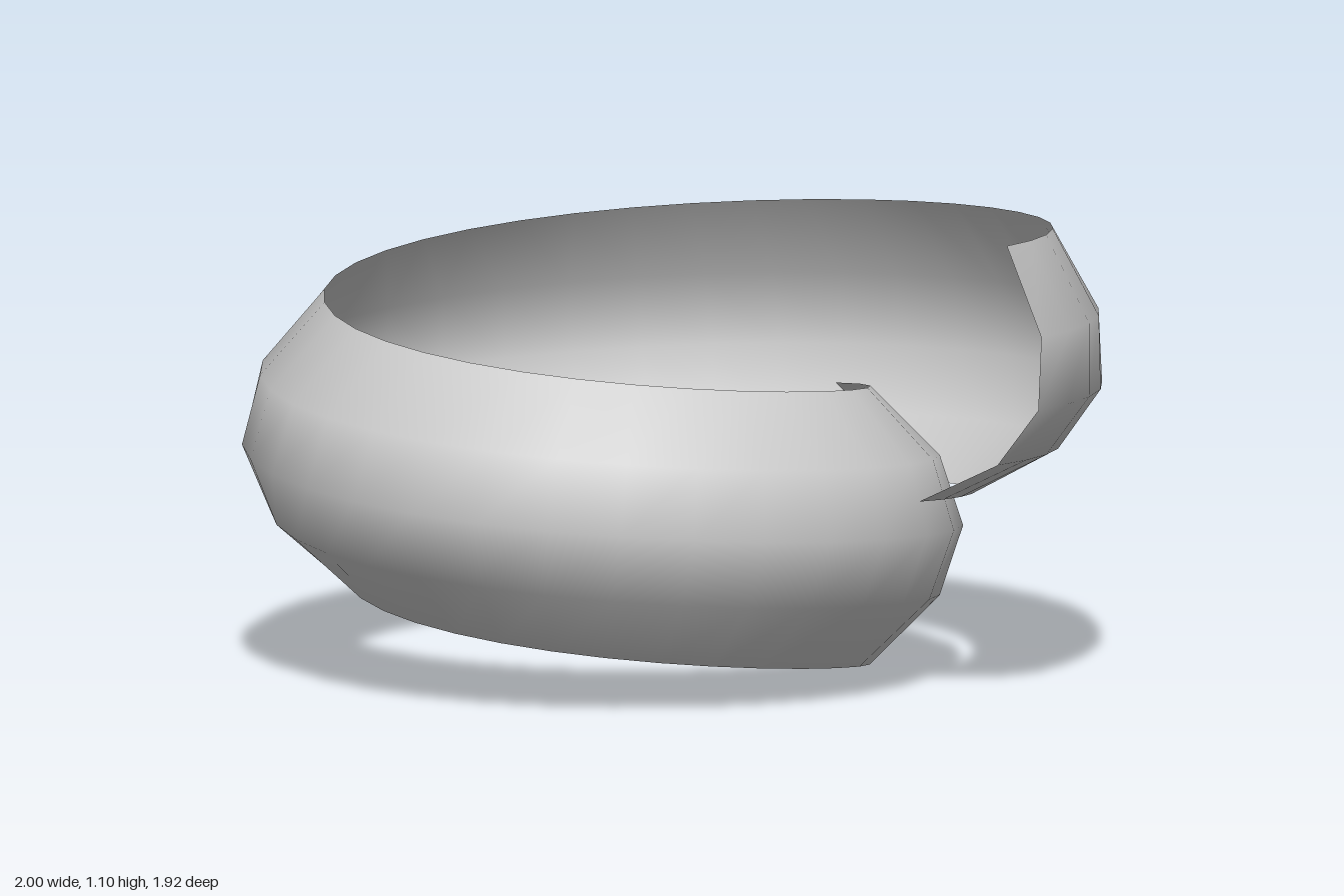
import * as THREE from 'three';

const TURN = THREE.MathUtils.degToRad(415.3); // total sweep angle
const R0 = 0.525, GROW = 0.0541, RISE = 0.0637; // start radius, radius and height gained per radian
const HALF = 0.33, BULGE = 0.22; // half height and depth of the band's section
const STEPS = 40, SIDES = 4;

// Point and frame of the rising spiral at an angle
function spiralFrame(a) {
  const r = R0 + GROW * a, c = Math.cos(a), s = Math.sin(a);
  const point = new THREE.Vector3(r * c - 0.085, 0.33 + RISE * a, r * s + 0.04);
  const tangent = new THREE.Vector3(GROW * c - r * s, RISE, GROW * s + r * c).normalize();
  const out = new THREE.Vector3(tangent.z, 0, -tangent.x).normalize();
  const up = new THREE.Vector3().crossVectors(tangent, out);
  // the band leans outward more and more towards its upper end
  const roll = THREE.MathUtils.degToRad(-19) * Math.pow(a / TURN, 2.1);
  out.applyAxisAngle(tangent, roll);
  up.applyAxisAngle(tangent, roll);
  return { point, out, up };
}

// Parabolic section swept along the spiral at even steps of length
function bandGeometry() {
  const positions = [], index = [];
  const length = R0 * TURN + GROW * TURN * TURN / 2;
  for (let i = 0; i <= STEPS; i++) {
    const a = (Math.sqrt(R0 * R0 + 2 * GROW * length * i / STEPS) - R0) / GROW;
    const { point, out, up } = spiralFrame(a);
    for (let j = 0; j <= SIDES; j++) {
      const t = 2 * j / SIDES - 1;
      const p = point.clone().addScaledVector(up, HALF * t).addScaledVector(out, BULGE * (1 - t * t));
      positions.push(p.x, p.y, p.z);
      if (i < STEPS && j < SIDES) {
        const k = i * (SIDES + 1) + j, n = k + SIDES + 1;
        index.push(k, k + 1, n, k + 1, n + 1, n);
      }
    }
  }
  const geometry = new THREE.BufferGeometry();
  geometry.setAttribute('position', new THREE.Float32BufferAttribute(positions, 3));
  geometry.setIndex(index);
  geometry.computeVertexNormals();
  return geometry;
}

export function createModel() {
  const group = new THREE.Group();
  group.name = 'spiralRibbon';
  const grey = new THREE.MeshStandardMaterial({ color: 0xcccccc, side: THREE.DoubleSide });
  grey.name = 'light grey';
  const band = new THREE.Mesh(bandGeometry(), grey);
  band.name = 'curvedBand';
  group.add(band);
  return group;
}
